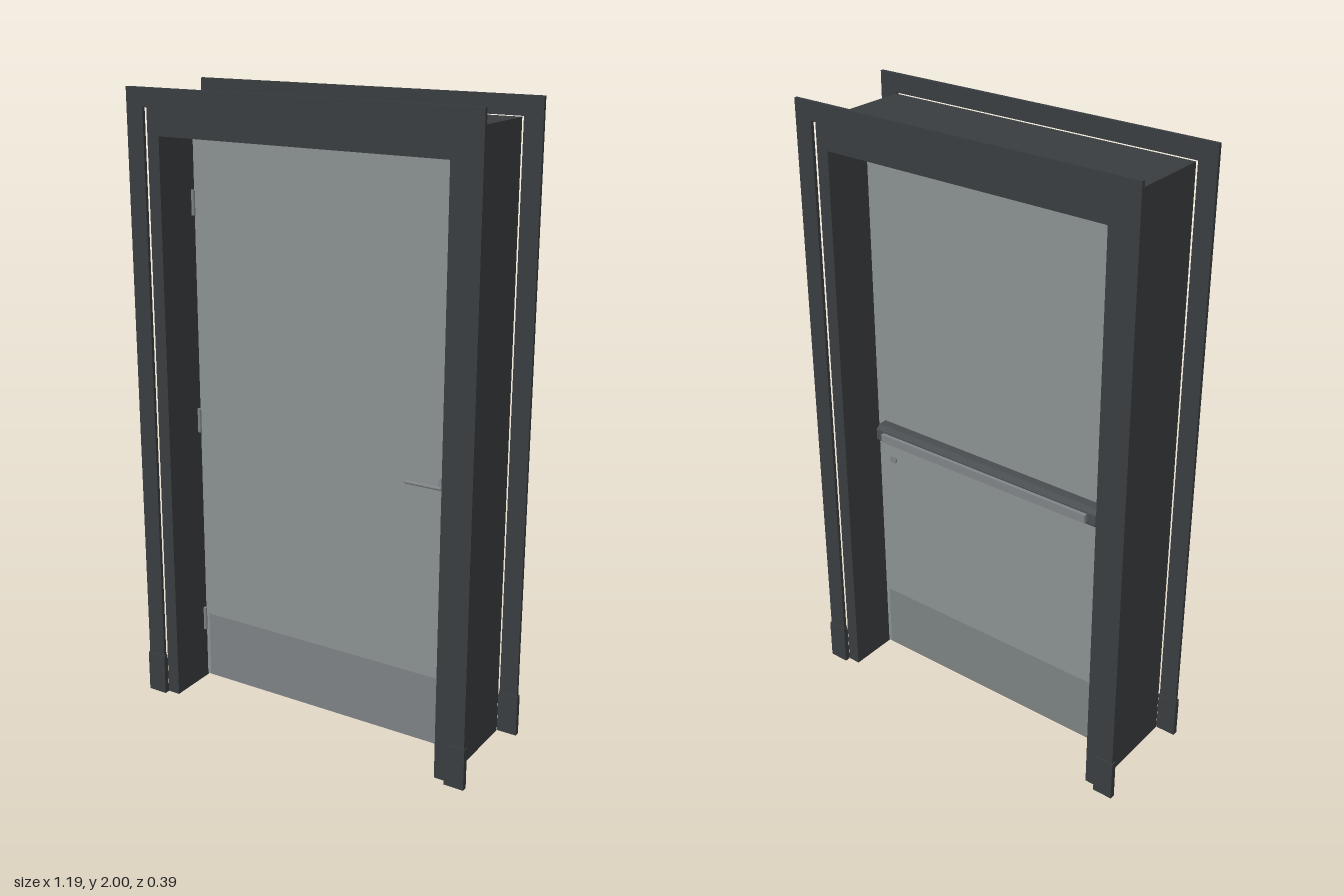
import * as THREE from 'three';

const mat = (color) => new THREE.MeshStandardMaterial({ color });

export function createModel() {
  const model = new THREE.Group();
  model.name = 'doorway';
  const frameMat = mat(0x3a3d3f), doorMat = mat(0x8b9092), plateMat = mat(0x7c8183);
  const metalMat = mat(0x808487), darkMat = mat(0x4a4d50);

  const add = (name, geometry, material, x = 0, y = 0, z = 0) => {
    const mesh = new THREE.Mesh(geometry, material);
    mesh.name = name;
    mesh.position.set(x, y, z);
    model.add(mesh);
    return mesh;
  };
  // box given by its low and high limits on each axis
  const box = (name, material, x0, x1, y0, y1, z0, z1) =>
    add(name, new THREE.BoxGeometry(x1 - x0, y1 - y0, z1 - z0), material,
      (x0 + x1) / 2, (y0 + y1) / 2, (z0 + z1) / 2);
  // disc or rod lying along z
  const disc = (name, material, r, depth, x, y, z) => {
    const g = new THREE.CylinderGeometry(r, r, depth, 24);
    g.rotateX(Math.PI / 2);
    return add(name, g, material, x, y, z);
  };
  // inverted U outline, open at the floor
  const arch = (w, top, inW, inTop, depth) => {
    const s = new THREE.Shape([[-w, 0], [-inW, 0], [-inW, inTop], [inW, inTop],
      [inW, 0], [w, 0], [w, top], [-w, top]].map((p) => new THREE.Vector2(...p)));
    return new THREE.ExtrudeGeometry(s, { depth, bevelEnabled: false });
  };

  // deep lining of the opening
  add('jambLining', arch(0.527, 1.94, 0.485, 1.858, 0.352), frameMat, 0, 0, -0.176);

  // casing and plinth blocks on both faces
  for (const side of [1, -1]) {
    add('casing', arch(0.59, 2, 0.53, 1.942, 0.011), frameMat, 0, 0, side > 0 ? 0.18 : -0.191);
    for (const s of [1, -1]) {
      const plinth = box('plinthBlock', frameMat, 0.527, 0.593, 0, 0.137, 0.177, 0.195);
      plinth.position.x *= s;
      plinth.position.z *= side;
    }
  }

  // door leaf with a kick plate on each face
  box('doorLeaf', doorMat, -0.479, 0.479, 0.01, 1.852, -0.018, 0.018);
  box('frontKickPlate', plateMat, -0.465, 0.46, 0.012, 0.24, 0.018, 0.02);
  box('backKickPlate', plateMat, -0.46, 0.465, 0.012, 0.24, -0.02, -0.018);

  // three hinges
  for (const y of [0.22, 0.93, 1.64]) {
    add('hingeBarrel', new THREE.CylinderGeometry(0.006, 0.006, 0.08, 12), metalMat, -0.481, y, 0.022);
  }

  // front lever and lock
  const hx = 0.42, hy = 0.885;
  disc('leverRose', metalMat, 0.022, 0.008, hx, hy, 0.022);
  disc('leverNeck', metalMat, 0.008, 0.04, hx, hy, 0.042);
  const lever = new THREE.CapsuleGeometry(0.006, 0.113, 4, 12);
  lever.rotateZ(Math.PI / 2);
  add('lever', lever, metalMat, hx - 0.056, hy, 0.06);
  disc('frontLock', metalMat, 0.013, 0.006, hx, 0.78, 0.021);
  disc('backLock', metalMat, 0.013, 0.006, hx, 0.78, -0.021);

  // push bar across the back: chamfered housing with a raised pad
  const profile = new THREE.Shape([[0, -0.032], [0.03, -0.032], [0.045, -0.018], [0.045, 0.018],
    [0.03, 0.032], [0, 0.032]].map((p) => new THREE.Vector2(...p)));
  const housing = new THREE.ExtrudeGeometry(profile, { depth: 0.86, bevelEnabled: false });
  housing.rotateY(Math.PI / 2); // depth of the profile now points to -z, its length to +x
  add('pushBarHousing', housing, darkMat, -0.41, hy, -0.018);
  box('pushBarPad', metalMat, -0.38, 0.42, hy - 0.014, hy + 0.014, -0.075, -0.06);

  return model;
}
